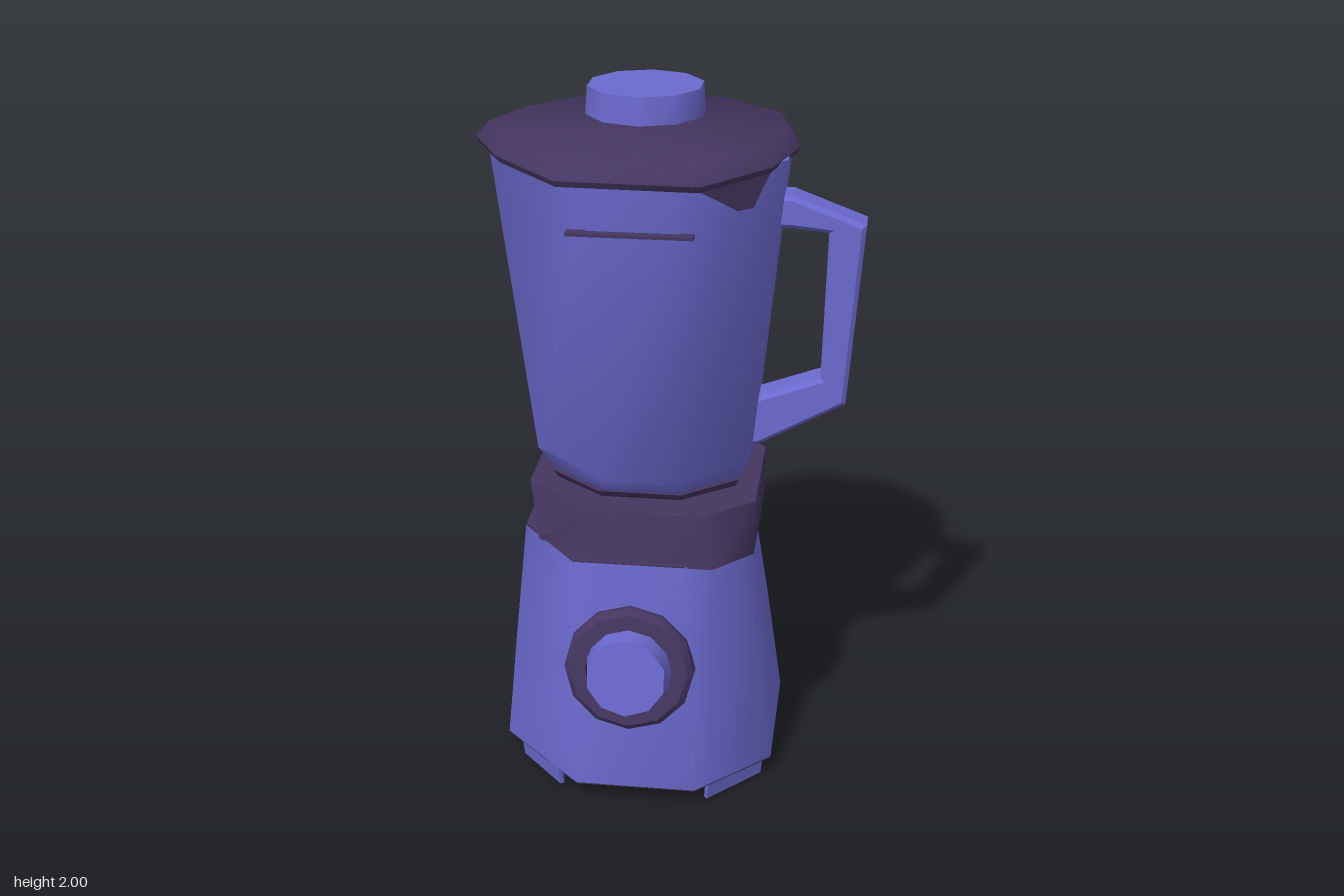
import * as THREE from 'three';
import { toCreasedNormals } from 'three/addons/utils/BufferGeometryUtils.js';

const blue = new THREE.MeshStandardMaterial({ color: 0x6c6ad0 });
blue.name = 'body blue';
const purple = new THREE.MeshStandardMaterial({ color: 0x443660 });
purple.name = 'dark purple';

// Octagonal ring: centre, half sizes, half length of the flat sides;
// cut and far are that length at the (-x, +z) and (+x, -z) corners
function octagon(y, cx, cz, hx, hz, c, cut = c, far = c) {
  return [[hx, -far], [hx, c], [c, hz], [-cut, hz], [-hx, cut], [-hx, -c], [-c, -hz], [far, -hz]]
    .map(([x, z]) => [cx + x, y, cz + z]);
}

// Closed solid through rings of equal length, from bottom to top
function loft(rings) {
  const n = rings[0].length, pos = rings.flat(2), idx = [];
  for (let i = 0; i < rings.length - 1; i++) {
    for (let j = 0; j < n; j++) {
      const a = i * n + j, b = i * n + (j + 1) % n;
      idx.push(a, a + n, b, b, a + n, b + n);
    }
  }
  const last = (rings.length - 1) * n;
  for (const [start, top] of [[0, false], [last, true]]) {
    const centre = pos.length / 3;
    const ring = rings[start / n];
    for (let k = 0; k < 3; k++) pos.push(ring.reduce((s, p) => s + p[k], 0) / n);
    for (let j = 0; j < n; j++) {
      const a = start + j, b = start + (j + 1) % n;
      idx.push(centre, top ? b : a, top ? a : b);
    }
  }
  const g = new THREE.BufferGeometry();
  g.setAttribute('position', new THREE.Float32BufferAttribute(pos, 3));
  g.setIndex(idx);
  return toCreasedNormals(g, 0.95);
}

export function createModel() {
  const model = new THREE.Group();
  const add = (name, geo, mat, parent = model) => {
    const m = new THREE.Mesh(geo, mat);
    m.name = name;
    parent.add(m);
    return m;
  };

  // Motor base with dark underside and shoulder
  add('motorBase', loft([
    octagon(0.06, -0.075, -0.025, 0.395, 0.39, 0.19, 0.15, 0.225),
    octagon(0.4, -0.08, -0.022, 0.355, 0.382, 0.18, 0.15, 0.2),
    octagon(0.75, -0.09, -0.03, 0.31, 0.345, 0.165, 0.14, 0.18),
  ]), blue);
  add('underside', loft([0.053, 0.06].map(
    (y) => octagon(y, -0.075, -0.025, 0.39, 0.385, 0.19, 0.15, 0.225))), purple);
  add('shoulder', loft([0.748, 0.755].map(
    (y) => octagon(y, -0.09, -0.03, 0.309, 0.344, 0.165, 0.14, 0.18))), purple);

  // Feet under the four cut corners: blue outer wall, dark inner block
  const footWall = [[0.385, 0.2], [0.235, 0.36], [0.225, 0.35], [0.375, 0.19]];
  const footBlock = [[0.375, 0.19], [0.225, 0.35], [0.235, 0.2]];
  for (const [sx, sz, size] of [[1, 1, 0.97], [-1, 1, 0.91], [-1, -1, 0.97], [1, -1, 1.01]]) {
    const ring = (points, y, k) => {
      const pts = points.map(([x, z]) => [-0.075 + sx * x * k, y, -0.025 + sz * z * k]);
      return sx * sz < 0 ? pts.reverse() : pts;
    };
    const foot = (points, y) => loft([ring(points, y, size * 0.98), ring(points, 0.065, size)]);
    add('footWall', foot(footWall, 0.002), blue);
    add('footBlock', foot(footBlock, 0), purple);
  }

  // Collar between base and jar
  add('collar', loft([
    octagon(0.745, -0.045, -0.005, 0.305, 0.31, 0.2, 0.18, 0.21),
    octagon(0.89, -0.063, -0.02, 0.322, 0.3, 0.18, 0.12, 0.19),
  ]), purple);

  // Jar, pinched at its foot, on a dark seat
  add('jarSeat', loft([
    octagon(0.885, -0.057, -0.044, 0.25, 0.218, 0.11),
    octagon(0.912, -0.06, -0.043, 0.266, 0.237, 0.115),
  ]), purple);
  add('jar', loft([
    octagon(0.88, -0.055, -0.045, 0.235, 0.2, 0.1),
    octagon(0.97, -0.068, -0.04, 0.302, 0.28, 0.115, 0.09),
    octagon(1.84, -0.08, -0.06, 0.4, 0.37, 0.14, 0.1),
  ]), blue);

  // Dark lip under the lid on the front left corner of the jar
  const lipRing = (y, a, b, from, to) => {
    const at = (t, out) => [a[0] + (b[0] - a[0]) * t + 0.66 * out, y, a[1] + (b[1] - a[1]) * t + 0.75 * out];
    return [at(from, 0.006), at(to, 0.006), at(to, -0.003), at(from, -0.003)];
  };
  add('jarLip', loft([
    lipRing(1.73, [0.308, 0.079], [0.059, 0.3], 0.3, 0.45),
    lipRing(1.83, [0.319, 0.08], [0.06, 0.309], 0.15, 0.95),
  ]), purple);

  // Thin ledges near the top of the jar, front and back
  for (const z of [0.308, -0.42]) {
    const ledge = add('jarLedge', new THREE.BoxGeometry(0.33, 0.008, 0.035), purple);
    ledge.position.set(-0.065, 1.695, z);
  }

  // Handle
  const outline = new THREE.Shape([
    [0.24, 1.72], [0.33, 1.72], [0.53, 1.645], [0.492, 1.125], [0.26, 0.995], [0.2, 0.98],
    [0.2, 1.12], [0.27, 1.145], [0.42, 1.2], [0.43, 1.62], [0.33, 1.63], [0.24, 1.63],
  ].map(([x, y]) => new THREE.Vector2(x, y)));
  const handle = add('handle', new THREE.ExtrudeGeometry(outline, {
    depth: 0.08, bevelEnabled: true, bevelThickness: 0.012, bevelSize: 0.012,
    bevelOffset: -0.012, bevelSegments: 1,
  }), blue);
  handle.position.z = -0.085;

  // Lid with an uneven many-sided rim
  const rim = [[0.425, 0], [0.365, 0.21], [0.2, 0.41], [-0.17, 0.4], [-0.36, 0.19], [-0.455, 0],
    [-0.38, -0.18], [-0.19, -0.375], [-0.07, -0.41], [0.21, -0.375], [0.39, -0.2]];
  const lidRing = (y, k) => rim.map(([x, z]) => [-0.08 + x * k, y, -0.05 + z * k]);
  add('lid', loft([lidRing(1.825, 0.98), lidRing(1.842, 1), lidRing(1.885, 0.92)]), purple);

  // Lid cap
  const cap = add('lidCap', toCreasedNormals(
    new THREE.CylinderGeometry(0.158, 0.163, 0.075, 10), 0.95), blue);
  cap.position.set(-0.07, 1.9625, -0.05);

  // Control dial, leaning with the front of the base
  const dial = new THREE.Group();
  dial.name = 'dial';
  dial.position.set(-0.068, 0.45, 0.342);
  dial.rotation.x = -0.14;
  model.add(dial);
  const ringProfile = [[0.122, 0], [0.183, 0], [0.182, 0.03], [0.165, 0.046], [0.122, 0.046], [0.122, 0]]
    .map(([r, y]) => new THREE.Vector2(r, y));
  add('dialRing', toCreasedNormals(
    new THREE.LatheGeometry(ringProfile, 12), 0.6), purple, dial).rotation.x = Math.PI / 2;
  const knob = add('dialKnob', toCreasedNormals(
    new THREE.CylinderGeometry(0.112, 0.128, 0.1, 10), 0.7), blue, dial);
  knob.rotation.x = Math.PI / 2;
  knob.position.z = 0.05;

  return model;
}
